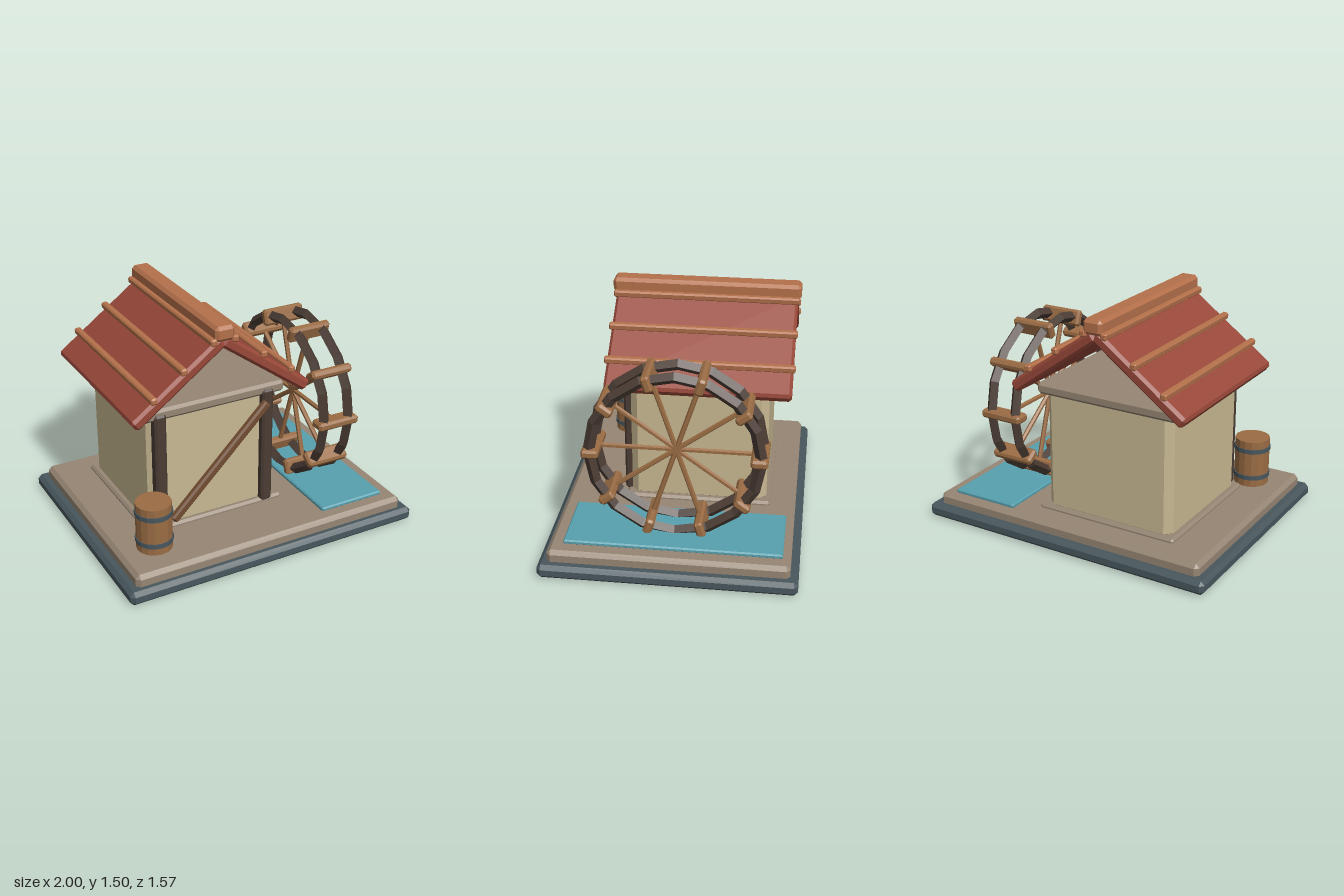
import * as THREE from 'three';
import { ConvexGeometry } from 'three/addons/geometries/ConvexGeometry.js';

const mat = (name, color) => {
  const m = new THREE.MeshStandardMaterial({ color, flatShading: true });
  m.name = name;
  return m;
};

// Box with every edge cut at 45 degrees
function chamferBox(w, h, d, c) {
  const points = [];
  const x = w / 2, y = h / 2, z = d / 2;
  for (const i of [-1, 1]) for (const j of [-1, 1]) for (const k of [-1, 1]) {
    points.push(
      new THREE.Vector3(i * x, j * (y - c), k * (z - c)),
      new THREE.Vector3(i * (x - c), j * y, k * (z - c)),
      new THREE.Vector3(i * (x - c), j * (y - c), k * z));
  }
  return new ConvexGeometry(points);
}

export function createModel() {
  const slate = mat('slate', 0x48575d);
  const stone = mat('stone', 0x968674);
  const plaster = mat('plaster', 0xc8b892);
  const tile = mat('roof red', 0x984839);
  const trim = mat('terracotta trim', 0xb3704a);
  const wood = mat('wheel wood', 0x9a6c44);
  const brown = mat('brace wood', 0x714c30);
  const dark = mat('dark timber', 0x4b3c34);
  const water = mat('water blue', 0x57a0ae);

  const model = new THREE.Group();
  model.name = 'watermill';

  const add = (parent, name, geometry, material, x = 0, y = 0, z = 0) => {
    const mesh = new THREE.Mesh(geometry, material);
    mesh.name = name;
    mesh.position.set(x, y, z);
    parent.add(mesh);
    return mesh;
  };
  const group = (name, x = 0, y = 0, z = 0) => {
    const g = new THREE.Group();
    g.name = name;
    g.position.set(x, y, z);
    model.add(g);
    return g;
  };

  // Ground slabs and mill pond
  add(model, 'baseSlab', chamferBox(2, 0.09, 1.57, 0.025), slate, 0, 0.045, 0);
  add(model, 'terrace', chamferBox(1.88, 0.105, 1.47, 0.025), stone, 0, 0.11, 0);
  add(model, 'pond', chamferBox(0.45, 0.03, 1.33, 0.008), water, 0.62, 0.172, -0.02);

  // House walls between a footing and a top plate
  const house = group('house', -0.213, 0, -0.11);
  add(house, 'footing', chamferBox(0.955, 0.04, 0.93, 0.015), stone, 0, 0.167, 0);
  add(house, 'walls', chamferBox(0.88, 0.84, 0.87, 0.045), plaster, 0, 0.565, 0);
  add(house, 'topPlate', chamferBox(0.955, 0.075, 0.935, 0.018), stone, 0, 0.965, 0);

  // Front timber frame
  for (const x of [-0.592, 0.142]) {
    add(model, 'frontPost', chamferBox(0.077, 0.795, 0.075, 0.014), dark, x, 0.573, 0.335);
  }
  const brace = add(model, 'diagonalBrace', chamferBox(0.93, 0.055, 0.05, 0.012), brown, -0.203, 0.565, 0.383);
  brace.rotation.z = Math.PI / 4;

  // Roof: two sloping panels with battens and a ridge beam
  const roof = group('roof', -0.215, 0, -0.112);
  const slope = 0.63;
  for (const side of [-1, 1]) {
    const panel = add(roof, 'roofPanel', chamferBox(0.72, 0.075, 1.145, 0.018), tile, side * 0.293, 1.19, 0);
    panel.rotation.z = -side * slope;
    for (let i = 0; i < 3; i++) {
      const batten = add(roof, 'batten', chamferBox(0.043, 0.043, 1.17, 0.009), trim,
        side * (0.07 + i * 0.195), 1.41 - i * 0.142, 0);
      batten.rotation.z = -side * 0.1;
    }
  }
  add(roof, 'ridgeBeam', chamferBox(0.128, 0.095, 1.185, 0.02), trim, 0, 1.457, 0);

  // Water wheel: two faceted rims, ten spokes and ten paddles
  const wheel = group('waterWheel', 0.56, 0.705, -0.012);
  for (const x of [-0.09, 0.09]) {
    const rim = add(wheel, 'wheelRim', new THREE.TorusGeometry(0.52, 0.036, 4, 16), dark, x, 0, 0);
    rim.rotation.y = Math.PI / 2;
  }
  const spokeShape = new THREE.CylinderGeometry(0.016, 0.016, 0.5, 6);
  const paddleShape = chamferBox(0.29, 0.105, 0.055, 0.014);
  for (let i = 0; i < 10; i++) {
    const arm = new THREE.Group();
    arm.name = 'wheelArm';
    arm.rotation.x = Math.PI / 2 + (i * Math.PI) / 5;
    wheel.add(arm);
    add(arm, 'spoke', spokeShape, wood, 0, 0.25, 0);
    add(arm, 'paddle', paddleShape, wood, 0, 0.507, 0);
  }

  // Barrel with two hoops
  const barrel = group('barrel', -0.705, 0.16, 0.475);
  add(barrel, 'barrelBody', new THREE.CylinderGeometry(0.112, 0.112, 0.315, 16), wood, 0, 0.1575, 0);
  for (const y of [0.065, 0.25]) {
    add(barrel, 'barrelHoop', new THREE.CylinderGeometry(0.118, 0.118, 0.03, 16), slate, 0, y, 0);
  }

  return model;
}
